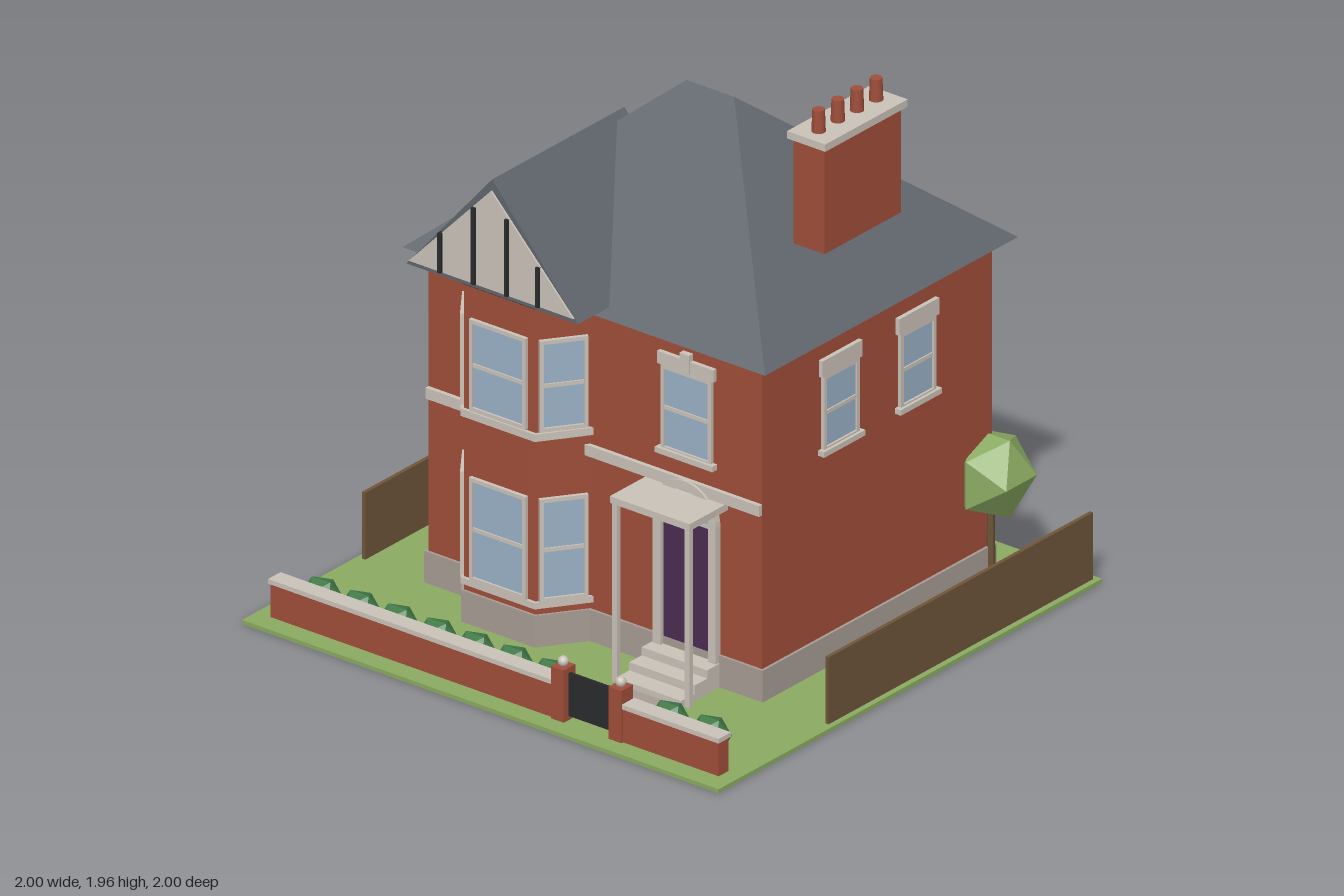
import * as THREE from 'three';
import { ConvexGeometry } from 'three/addons/geometries/ConvexGeometry.js';

const mat = (name, color, flat = false) => {
  const m = new THREE.MeshStandardMaterial({ color, flatShading: flat });
  m.name = name;
  return m;
};

export function createModel() {
  const brick = mat('brick', 0xa04e3a), slate = mat('slate', 0x5f666c), stone = mat('stone', 0xcac3b9);
  const glass = mat('glass', 0x9ab2c6), purple = mat('door purple', 0x4b2c52), green = mat('grass green', 0x8bab62, true);
  const hedge = mat('hedge green', 0x427a48, true), wood = mat('fence brown', 0x6f5539);
  const dark = mat('dark iron', 0x2a2b2c), paving = mat('paving grey', 0xa79c94);
  const root = new THREE.Group();
  root.name = 'house';

  const add = (parent, name, geo, m, x = 0, y = 0, z = 0) => {
    const mesh = new THREE.Mesh(geo, m);
    mesh.name = name;
    mesh.position.set(x, y, z);
    parent.add(mesh);
    return mesh;
  };
  // box given by its min and max on each axis
  const box = (parent, name, m, x0, x1, y0, y1, z0, z1) =>
    add(parent, name, new THREE.BoxGeometry(x1 - x0, y1 - y0, z1 - z0), m, (x0 + x1) / 2, (y0 + y1) / 2, (z0 + z1) / 2);
  const hull = (name, m, pts) => add(root, name, new ConvexGeometry(pts.map(p => new THREE.Vector3(...p))), m);

  // window facing +z, origin at the bottom centre of its frame
  function addWindow(name, x, y, z, turn, w, h, o = {}) {
    const g = new THREE.Group(), t = 0.014, d = 0.014;
    g.name = name;
    g.position.set(x, y, z);
    g.rotation.y = turn;
    box(g, 'pane', glass, -w / 2 + t, w / 2 - t, t, h - t, 0, 0.006);
    for (const s of [-1, 1]) box(g, 'frameSide', stone, s * (w / 2 - t / 2) - t / 2, s * (w / 2 - t / 2) + t / 2, 0, h, 0, d);
    box(g, 'frameTop', stone, -w / 2 + t, w / 2 - t, h - t, h, 0, d);
    box(g, 'frameBottom', stone, -w / 2 + t, w / 2 - t, 0, t, 0, d);
    if (o.bar) box(g, 'middleRail', stone, -w / 2 + t, w / 2 - t, h / 2 - 0.007, h / 2 + 0.007, 0, 0.011);
    if (o.sill) box(g, 'sill', stone, -w / 2 - 0.015, w / 2 + 0.015, -0.012, 0.008, 0, 0.025);
    if (o.lintel) box(g, 'lintel', stone, -w / 2 - 0.012, w / 2 + 0.012, h, h + o.lintel, 0, 0.016);
    if (o.key) box(g, 'keystone', stone, -0.02, 0.02, h, h + o.lintel + 0.025, 0, 0.022);
    root.add(g);
  }

  // ground and path
  box(root, 'lawn', green, -1, 1, 0, 0.015, -1, 1);
  box(root, 'path', paving, 0.285, 0.49, 0.015, 0.021, 0.58, 0.88);

  // main walls and plinth
  box(root, 'walls', brick, -0.7, 0.7, 0.015, 1.24, -0.8, 0.4);
  box(root, 'plinth', paving, -0.71, 0.71, 0.015, 0.13, -0.81, 0.41);
  box(root, 'stringCourseLeft', stone, -0.7, -0.52, 0.69, 0.73, 0.4, 0.416);
  box(root, 'stringCourseRight', stone, -0.04, 0.7, 0.69, 0.73, 0.4, 0.416);

  // hipped roof and front gable roof
  hull('hippedRoof', slate, [[-0.76, 1.24, -0.86], [0.76, 1.24, -0.86], [-0.76, 1.24, 0.46], [0.76, 1.24, 0.46],
    [-0.1, 1.8, -0.2], [0.1, 1.8, -0.2]]);
  hull('gableRoof', slate, [-0.1, 0.59].flatMap(z => [[-0.64, 1.268, z], [0.08, 1.268, z], [-0.28, 1.685, z]]));
  hull('gableFace', stone, [0.589, 0.597].flatMap(z => [[-0.625, 1.285, z], [0.065, 1.285, z], [-0.28, 1.645, z]]));
  for (const [dx, top] of [[-0.21, 1.43], [-0.07, 1.565], [0.07, 1.565], [0.2, 1.43]])
    box(root, 'gableTimber', dark, -0.287 + dx, -0.273 + dx, 1.285, top, 0.59, 0.607);

  // canted bay, one slice per band
  const bay = (name, m, y0, y1, out = 0) => hull(name, m, [y0, y1].flatMap(y => [
    [-0.54 - out, y, 0.39], [-0.54 - out, y, 0.4], [-0.43 - out * 0.5, y, 0.55 + out],
    [-0.13 + out * 0.5, y, 0.55 + out], [-0.02 + out, y, 0.4], [-0.02 + out, y, 0.39]]));
  bay('bayWalls', brick, 0.015, 1.245);
  bay('bayPlinth', paving, 0.015, 0.13, 0.01);
  bay('bayLowerSill', stone, 0.155, 0.178, 0.012);
  bay('bayUpperSill', stone, 0.765, 0.792, 0.012);
  bay('bayCap', dark, 1.245, 1.268, 0.006);
  for (const [y, h] of [[0.178, 0.375], [0.797, 0.333]]) {
    addWindow('bayFrontWindow', -0.28, y, 0.55, 0, 0.238, h, { bar: true });
    for (const s of [-1, 1])
      addWindow('baySideWindow', -0.28 + s * 0.205, y, 0.475, s * Math.atan2(0.15, 0.11), 0.165, h, { bar: true });
  }

  // remaining windows
  addWindow('frontWindow', 0.39, 0.81, 0.4, 0, 0.212, 0.31, { bar: true, sill: true, lintel: 0.045, key: true });
  for (const s of [-1, 1]) for (const z of [0, -0.4])
    addWindow('sideWindow', s * 0.7, 0.807, z, s * Math.PI / 2, 0.185, 0.275, { bar: true, sill: true, lintel: 0.06 });
  for (const x of [-0.47, 0, 0.47]) for (const y of [0.255, 0.845])
    addWindow('backWindow', x, y, -0.8, Math.PI, 0.18, 0.3, { sill: true });

  // front door with arched fanlight
  const cx = 0.393;
  box(root, 'door', purple, 0.292, 0.494, 0.1, 0.585, 0.4, 0.409);
  for (const s of [-1, 1]) box(root, 'doorJamb', stone, cx + s * 0.116 - 0.016, cx + s * 0.116 + 0.016, 0.1, 0.6, 0.4, 0.425);
  box(root, 'doorTransom', stone, 0.292, 0.494, 0.583, 0.598, 0.4, 0.42);
  const arch = new THREE.Shape();
  arch.absarc(0, 0, 0.132, 0, Math.PI, false);
  arch.absarc(0, 0, 0.1, Math.PI, 0, true);
  add(root, 'doorArch', new THREE.ExtrudeGeometry(arch, { depth: 0.025, bevelEnabled: false, curveSegments: 12 }), stone, cx, 0.598, 0.4);
  add(root, 'fanlight', new THREE.CircleGeometry(0.101, 16, 0, Math.PI), glass, cx, 0.598, 0.418);

  // porch canopy, posts and steps
  box(root, 'porchCanopy', stone, 0.222, 0.556, 0.665, 0.69, 0.4, 0.6);
  for (const x of [0.237, 0.541]) box(root, 'porchPost', stone, x - 0.01, x + 0.01, 0.015, 0.665, 0.575, 0.595);
  [[0.61, 0.042], [0.54, 0.072], [0.475, 0.102]].forEach(([z, y]) => box(root, 'step', stone, 0.255, 0.53, 0.015, y, 0.4, z));

  // chimney stack with pots
  box(root, 'chimneyStack', brick, 0.51, 0.64, 1.47, 1.855, -0.4, 0);
  box(root, 'chimneyCap', stone, 0.495, 0.655, 1.853, 1.88, -0.415, 0.015);
  for (let i = 0; i < 4; i++)
    add(root, 'chimneyPot', new THREE.CylinderGeometry(0.021, 0.024, 0.08, 12), brick, 0.575, 1.92, -0.05 - i * 0.1);

  // front garden wall, gate piers and gate
  for (const [x0, x1] of [[-0.94, 0.25], [0.53, 0.94]]) {
    box(root, 'gardenWall', brick, x0, x1, 0.015, 0.138, 0.875, 0.925);
    box(root, 'wallCoping', stone, x0 - 0.005, x1 + 0.005, 0.138, 0.155, 0.867, 0.932);
  }
  for (const x of [0.27, 0.512]) {
    box(root, 'gatePier', brick, x - 0.027, x + 0.027, 0.015, 0.205, 0.873, 0.934);
    add(root, 'pierBall', new THREE.SphereGeometry(0.019, 12, 8), stone, x, 0.22, 0.903);
  }
  box(root, 'gate', dark, 0.297, 0.485, 0.03, 0.187, 0.898, 0.908);

  // side fences
  for (const s of [-1, 1]) box(root, 'sideFence', wood, s * 0.972 - 0.007, s * 0.972 + 0.007, 0.015, 0.258, -0.98, 0.4);

  // hedge bushes
  for (const x of [-0.82, -0.66, -0.5, -0.335, -0.175, -0.015, 0.145, 0.64, 0.81])
    add(root, 'hedgeBush', new THREE.IcosahedronGeometry(0.073, 0), hedge, x, 0.083, 0.81);

  // trees behind the house
  for (const [x, y, z, r] of [[-0.575, 0.49, -0.81, 0.18], [0.71, 0.397, -0.78, 0.152]]) {
    add(root, 'treeTrunk', new THREE.CylinderGeometry(0.012, 0.016, y - 0.015, 6), wood, x, (y + 0.015) / 2, z);
    add(root, 'treeCrown', new THREE.IcosahedronGeometry(r, 0), green, x, y, z).scale.y = 1.08;
  }
  return root;
}
